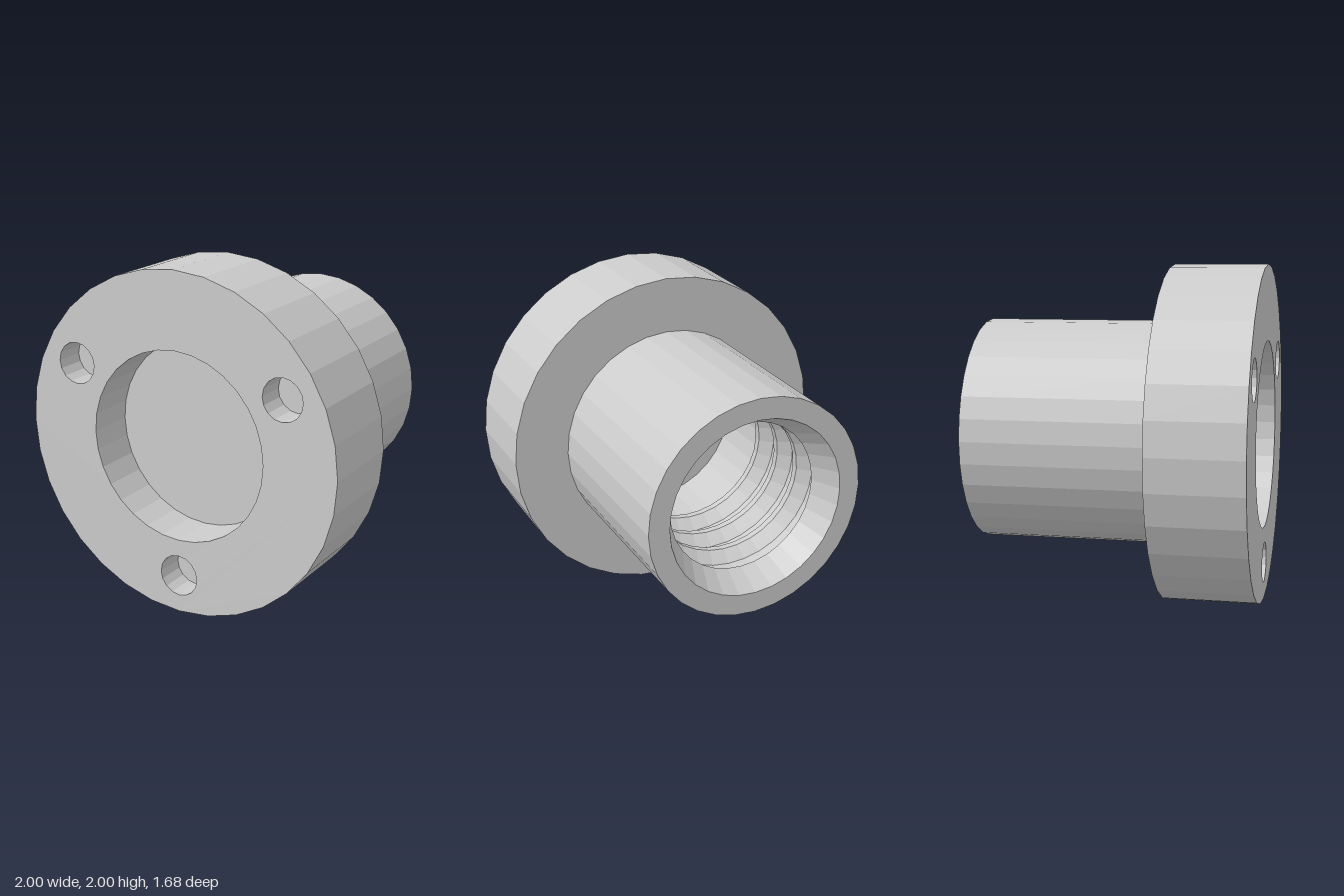
import * as THREE from 'three';

const SIDES = 32, HOLE_SIDES = 16;
const FRONT = 0.84, BACK = -0.84, STEP = 0.29;
const FLANGE_R = 1, NECK_R = 0.667, RECESS_R = 0.555;
const HOLE_R = 0.122, HOLE_CIRCLE = 0.775, HOLE_DEPTH = 0.17;

const grey = new THREE.MeshStandardMaterial({ color: 0xcccccc, flatShading: true });
const greyDouble = new THREE.MeshStandardMaterial({ color: 0xcccccc, flatShading: true, side: THREE.DoubleSide });

// Surface of revolution about the z axis from [radius, z] pairs
function turned(name, profile, sides) {
  const geo = new THREE.LatheGeometry(profile.map(([r, z]) => new THREE.Vector2(r, z)), sides);
  geo.rotateX(Math.PI / 2);
  const mesh = new THREE.Mesh(geo, grey);
  mesh.name = name;
  return mesh;
}

// Regular polygon with a corner at the top
function polygon(r, sides, cx = 0, cy = 0) {
  return Array.from({ length: sides }, (_, i) => {
    const a = (i / sides) * Math.PI * 2 + Math.PI / 2;
    return new THREE.Vector2(cx + r * Math.cos(a), cy + r * Math.sin(a));
  });
}

// Helical ridge inside the bore: a trapezoid swept along the wall, fading at both ends
function threadGeometry(root, crest, zStart, pitch, turns) {
  const section = [[0, -0.09], [1, -0.02], [1, 0.02], [0, 0.09]];
  const steps = Math.round(turns * SIDES), n = section.length;
  const pos = [], index = [];
  for (let i = 0; i <= steps; i++) {
    const a = (i / SIDES) * Math.PI * 2;
    const fade = Math.min(1, i / 6, (steps - i) / 6);
    const z = zStart + (pitch * i) / SIDES;
    for (const [h, dz] of section) {
      const r = root + (crest - root) * h * fade;
      pos.push(r * Math.cos(a), r * Math.sin(a), z + dz);
    }
    if (i === steps) break;
    for (let j = 0; j < n - 1; j++) {
      const p = i * n + j, q = p + n;
      index.push(p, p + 1, q, q, p + 1, q + 1);
    }
  }
  const geo = new THREE.BufferGeometry();
  geo.setAttribute('position', new THREE.Float32BufferAttribute(pos, 3));
  geo.setIndex(index);
  geo.computeVertexNormals();
  return geo;
}

export function createModel() {
  const model = new THREE.Group();
  model.name = 'flangedThreadedSocket';
  const body = new THREE.Group();
  body.name = 'body';
  body.position.y = 1;
  model.add(body);

  // Blind bore, chamfered mouth, neck and flange rim in one profile
  body.add(turned('neckAndFlange', [
    [0, 0.44], [0.515, 0.44], [0.515, BACK + 0.21], [0.455, BACK + 0.17],
    [0.54, BACK], [NECK_R, BACK], [NECK_R, STEP], [FLANGE_R, STEP], [FLANGE_R, FRONT],
  ], SIDES));

  // Shallow round recess in the front
  body.add(turned('frontRecess', [[RECESS_R, FRONT], [RECESS_R, 0.56], [0, 0.56]], SIDES));

  // Front face, pierced by the recess and three blind holes
  const face = new THREE.Shape(polygon(FLANGE_R, SIDES));
  face.holes.push(new THREE.Path(polygon(RECESS_R, SIDES)));
  for (let i = 0; i < 3; i++) {
    const a = -Math.PI / 2 + (i * Math.PI * 2) / 3;
    const x = HOLE_CIRCLE * Math.cos(a), y = HOLE_CIRCLE * Math.sin(a);
    face.holes.push(new THREE.Path(polygon(HOLE_R, HOLE_SIDES, x, y)));
    const hole = turned('screwHole', [[HOLE_R, FRONT], [HOLE_R, FRONT - HOLE_DEPTH], [0, FRONT - HOLE_DEPTH]], HOLE_SIDES);
    hole.position.set(x, y, 0);
    body.add(hole);
  }
  const front = new THREE.Mesh(new THREE.ShapeGeometry(face), grey);
  front.name = 'frontFace';
  front.position.z = FRONT;
  body.add(front);

  // Internal screw thread
  const thread = new THREE.Mesh(threadGeometry(0.515, 0.452, BACK + 0.24, 0.22, 3.25), greyDouble);
  thread.name = 'internalThread';
  body.add(thread);

  return model;
}
